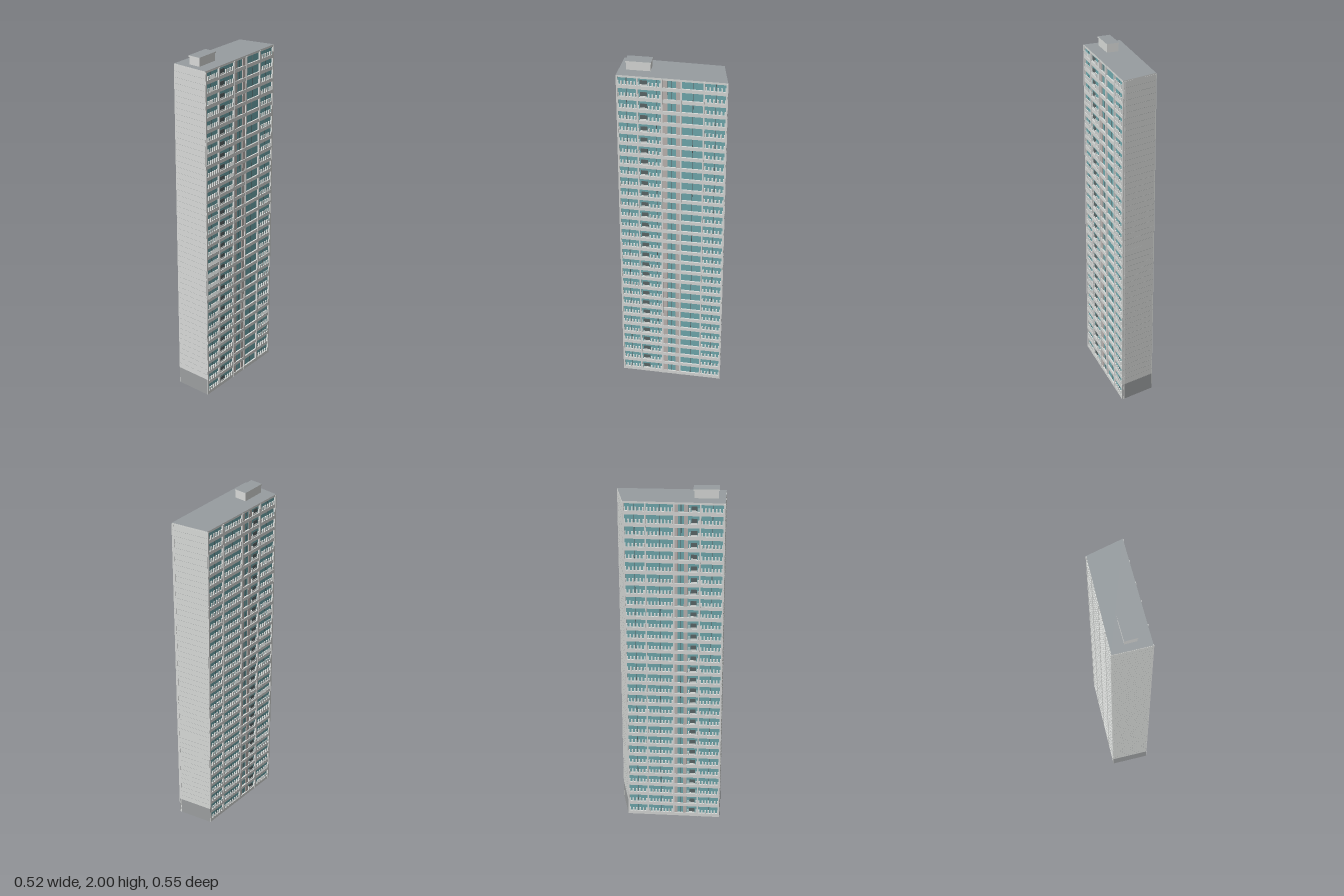
import * as THREE from 'three';
import { mergeGeometries } from 'three/addons/utils/BufferGeometryUtils.js';

const mat = (name, color) => {
  const m = new THREE.MeshStandardMaterial({ color });
  m.name = name;
  return m;
};

const FLOORS = 29, TOP = 1.945, H = TOP / FLOORS;

export function createModel() {
  const mats = {
    concrete: mat('light concrete', 0xd8dad8),
    glass: mat('teal glass', 0x70a9ae),
    panel: mat('warm grey panel', 0xbdb5b2),
    railing: mat('pale railing', 0xe0e4e2),
    dark: mat('dark window', 0x5c6768),
    base: mat('base grey', 0x9c9fa0),
    roof: mat('roof grey', 0x979da0),
  };
  const model = new THREE.Group();
  model.name = 'towerBlock';

  // Footprint corners as (x, z)
  const A = new THREE.Vector2(-0.256, 0.148), B = new THREE.Vector2(-0.09, 0.274);
  const C = new THREE.Vector2(0.256, -0.195), D = new THREE.Vector2(0.07, -0.276);

  // Vertical prism over a footprint, with its own cap and side colours
  const prism = (name, pts, y0, y1, cap, side) => {
    const shape = new THREE.Shape(pts.map(p => new THREE.Vector2(p.x, -p.y)));
    const g = new THREE.ExtrudeGeometry(shape, { depth: y1 - y0, bevelEnabled: false });
    g.rotateX(-Math.PI / 2);
    g.translate(0, y0, 0);
    const mesh = new THREE.Mesh(g, [cap, side]);
    mesh.name = name;
    model.add(mesh);
  };

  // Wall group: local x runs from p to q, z points outward. Boxes merge per part.
  const wall = (name, p, q, build) => {
    const parts = {}, d = q.clone().sub(p), len = d.length();
    const box = (part, m, x0, x1, y0, y1, z0, z1) => {
      const g = new THREE.BoxGeometry(x1 - x0, y1 - y0, z1 - z0);
      g.translate((x0 + x1) / 2, (y0 + y1) / 2, (z0 + z1) / 2);
      (parts[part] ??= { m, list: [] }).list.push(g);
    };
    build(box, len);
    const group = new THREE.Group();
    group.name = name;
    for (const [part, { m, list }] of Object.entries(parts)) {
      const mesh = new THREE.Mesh(mergeGeometries(list), mats[m]);
      mesh.name = part;
      group.add(mesh);
    }
    group.position.set(p.x, 0, p.y);
    group.rotation.y = Math.atan2(-d.y, d.x);
    model.add(group);
  };

  // Core with glazed long sides, and the roof slab
  const inset = 0.035;
  const core = [A.clone().lerp(B, inset), B.clone().lerp(A, inset),
    C.clone().lerp(D, inset), D.clone().lerp(C, inset)];
  prism('glazedCore', core, 0, TOP - 0.005, mats.concrete, mats.glass);
  prism('roofSlab', [A, B, C, D], TOP - 0.006, TOP + 0.006, mats.roof, mats.concrete);

  // Long facade: bays are [from, to, type] as fractions of its length
  const facade = (name, p, q, bays, piers) => wall(name, p, q, (box, len) => {
    for (const f of piers) {
      box('piers', 'concrete', f * len - 0.004, f * len + 0.004, 0, TOP, -0.012, 0.0035);
    }
    for (let i = 0; i < FLOORS; i++) {
      const y = i * H, sill = y + 0.02;
      for (const [a, b, type] of bays) {
        const x0 = a * len, x1 = b * len, w = x1 - x0;
        const mullion = s => box('mullions', 'dark',
          x0 + w * s - 0.0015, x0 + w * s + 0.0015, sill, y + H, -0.012, -0.006);
        // floor band
        box('floorBands', 'concrete', x0, x1, y, sill, -0.012, 0.002);
        if (type === 'balcony') {
          const n = Math.max(3, Math.round(w / 0.019));
          for (let k = 0; k < n; k++) {
            const x = x0 + w * (k + 0.5) / n;
            box('railingPosts', 'railing', x - 0.0042, x + 0.0042, sill, y + 0.041, -0.005, 0.001);
          }
          mullion(0.5);
        } else if (type === 'window') {
          box('darkWindows', 'dark', x0 + w * 0.25, x0 + w * 0.75, y + 0.028, y + 0.05, -0.012, -0.005);
          for (const s of [0.08, 0.82]) {
            box('railingPosts', 'railing', x0 + w * s, x0 + w * (s + 0.1), sill, y + 0.041, -0.005, 0.001);
          }
          box('windowSills', 'railing', x0 + w * 0.25, x0 + w * 0.75, sill, y + 0.028, -0.012, -0.003);
        } else if (type === 'panel') {
          for (const s of [0, 0.72]) {
            box('wallPanels', 'panel', x0 + w * s, x0 + w * (s + 0.28), sill, y + H, -0.012, -0.002);
          }
          mullion(0.5);
        } else {
          mullion(0.5);
        }
      }
    }
  });
  facade('leftFacade', B, C, [
    [0, 0.18, 'balcony'], [0.18, 0.31, 'window'], [0.31, 0.41, 'balcony'],
    [0.41, 0.59, 'panel'], [0.59, 0.79, 'glazed'], [0.79, 1, 'balcony'],
  ], [0.008, 0.19, 0.41, 0.585, 0.79, 0.992]);
  facade('rightFacade', D, A, [
    [0, 0.22, 'balcony'], [0.22, 0.5, 'balcony'], [0.5, 0.64, 'panel'],
    [0.64, 0.76, 'window'], [0.76, 1, 'balcony'],
  ], [0.008, 0.22, 0.5, 0.76, 0.992]);

  // Blank end walls with a grey base and fine panel joints
  const endWall = (name, p, q) => wall(name, p, q, (box, len) => {
    box('base', 'base', 0, len, 0, 0.1, -0.006, 0.001);
    box('wall', 'concrete', 0, len, 0.1, TOP, -0.006, 0.001);
    for (let i = 3; i < FLOORS * 2; i++) {
      const y = i * H / 2;
      box('joints', 'base', 0.002, len - 0.002, y - 0.0004, y + 0.0004, -0.001, 0.0013);
    }
  });
  endWall('frontEndWall', A, B);
  endWall('backEndWall', C, D);

  // Rooftop plant room with a thin overhanging cap
  const plant = [[-0.18, 0.164], [-0.123, 0.205], [-0.043, 0.095], [-0.1, 0.054]]
    .map(([x, z]) => new THREE.Vector2(x, z));
  const mid = new THREE.Vector2(-0.1115, 0.1295);
  prism('plantRoom', plant.map(p => p.clone().lerp(mid, 0.06)), TOP, 1.993, mats.concrete, mats.concrete);
  prism('plantRoomCap', plant, 1.992, 2, mats.roof, mats.concrete);

  return model;
}
